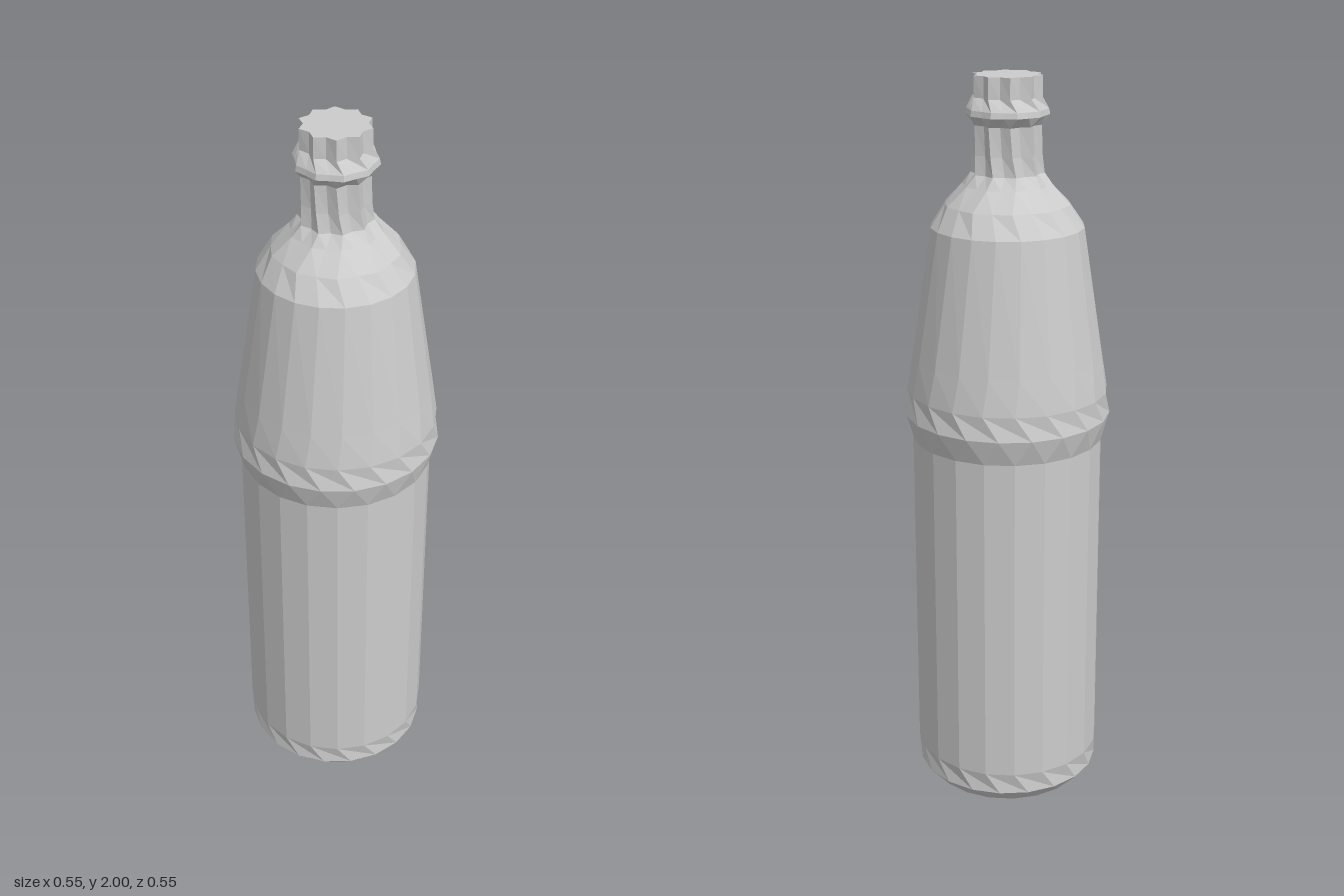
import * as THREE from 'three';

const SEGMENTS = 20;
const material = new THREE.MeshStandardMaterial({ color: 0xcccccc, flatShading: true });

// Each ring: [radius, height, twist in facets, flute depth on every other vertex]
const base = [[0, 0, 0, 0], [0.22, 0, 0, 0], [0.256, 0.04, 0.5, 0], [0.259, 0.1, 0, 0]];
const body = [[0.259, 0.1, 0, 0], [0.259, 1.03, 0, 0]];
const belt = [[0.259, 1.03, 0, 0], [0.279, 1.1, 0.5, 0], [0.272, 1.165, 0, 0]];
const upperBody = [[0.272, 1.165, 0, 0], [0.258, 1.26, 0.15, 0], [0.204, 1.61, 0.3, 0]];
const shoulder = [[0.204, 1.61, 0.3, 0], [0.168, 1.67, 0, 0.03], [0.12, 1.72, 0.3, 0.06], [0.097, 1.75, 0.5, 0.12]];
const neck = [[0.097, 1.75, 0.5, 0.12], [0.092, 1.8, 0.2, 0.14], [0.091, 1.875, 0, 0.14]];
const collar = [[0.091, 1.875, 0, 0.14], [0.11, 1.9, 0.5, 0.06], [0.107, 1.915, 0.5, 0.06], [0.093, 1.945, 0, 0.14]];
const cap = [[0.093, 1.945, 0, 0.14], [0.093, 2, 0, 0.16], [0, 2, 0, 0]];

function turnedPart(name, rings) {
  const points = rings.map(([r, y]) => new THREE.Vector2(r, y));
  const geometry = new THREE.LatheGeometry(points, SEGMENTS);
  const position = geometry.attributes.position;
  // Twist the rings and pull in alternate vertices to form flutes
  for (let k = 0; k < position.count; k++) {
    const side = Math.floor(k / rings.length);
    const [r, y, twist, flute] = rings[k % rings.length];
    const angle = ((side + twist) / SEGMENTS) * Math.PI * 2;
    const radius = r * (side % 2 ? 1 - flute : 1);
    position.setXYZ(k, Math.sin(angle) * radius, y, Math.cos(angle) * radius);
  }
  geometry.computeVertexNormals();
  const mesh = new THREE.Mesh(geometry, material);
  mesh.name = name;
  return mesh;
}

export function createModel() {
  const bottle = new THREE.Group();
  bottle.name = 'bottle';
  const parts = { base, body, belt, upperBody, shoulder, neck, collar, cap };
  for (const [name, rings] of Object.entries(parts)) bottle.add(turnedPart(name, rings));
  return bottle;
}
